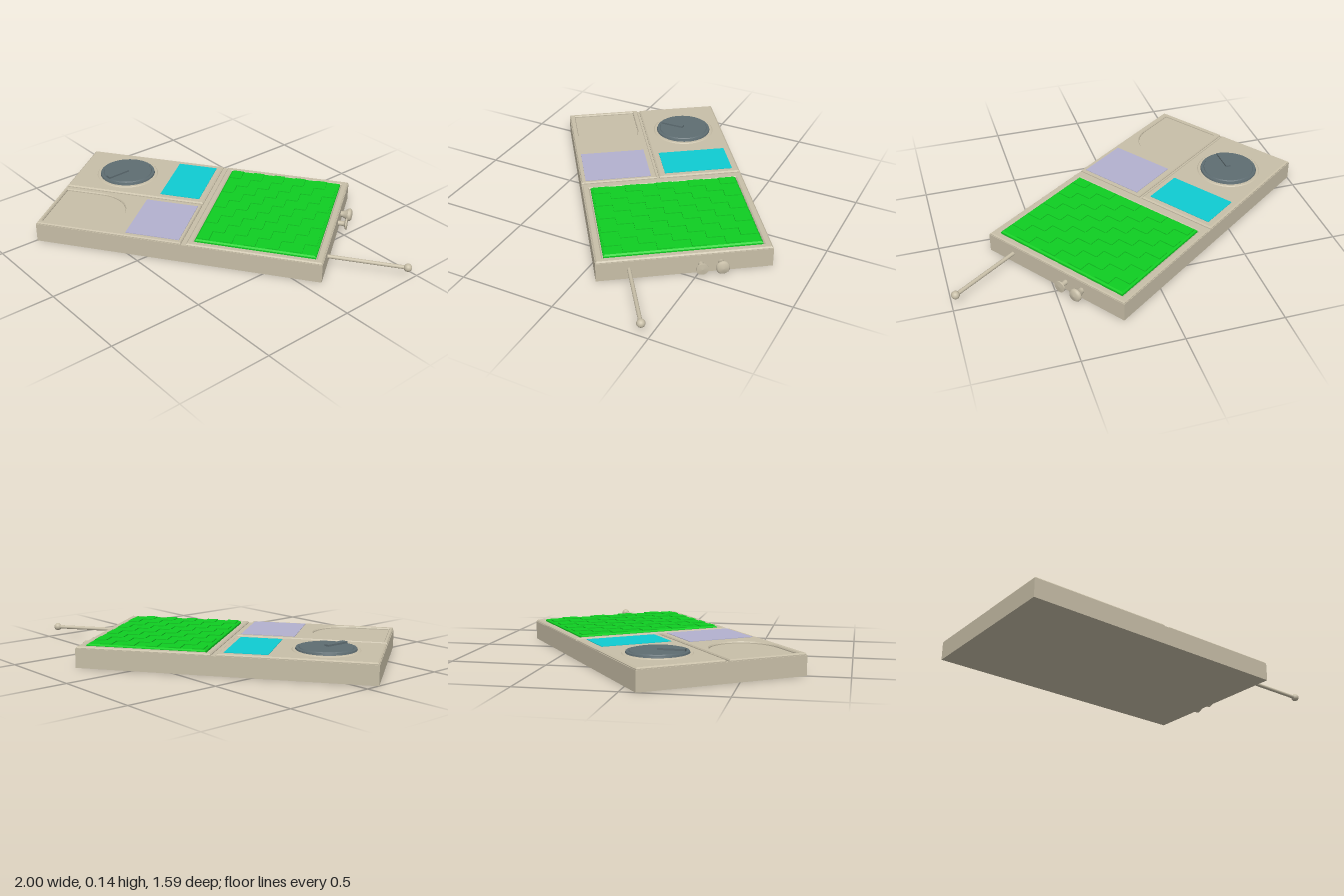
import * as THREE from 'three';
import { mergeGeometries } from 'three/addons/utils/BufferGeometryUtils.js';

const paint = (name, color) => Object.assign(new THREE.MeshStandardMaterial({ color }), { name });

export function createModel() {
  const beige = paint('beige plastic', 0xc8bfa8);
  const green = paint('green keys', 0x0fce22);
  const cyan = paint('cyan screen', 0x0fccd2);
  const lavender = paint('lavender screen', 0xb3b1cf);
  const slate = paint('slate dial', 0x5e6d72);

  const model = new THREE.Group();
  model.name = 'handheldDevice';
  // The device lies flat, turned on the ground
  const device = new THREE.Group();
  device.name = 'device';
  device.position.set(-0.13, 0, -0.004);
  device.rotation.y = 0.617;
  model.add(device);

  const add = (name, geometry, material, x = 0, y = 0, z = 0) => {
    const mesh = new THREE.Mesh(geometry, material);
    mesh.name = name;
    mesh.position.set(x, y, z);
    device.add(mesh);
    return mesh;
  };
  const rect = (x0, x1, z0, z1) => new THREE.Shape([
    new THREE.Vector2(x0, -z1), new THREE.Vector2(x1, -z1),
    new THREE.Vector2(x1, -z0), new THREE.Vector2(x0, -z0)]);
  // Bevelled slab lying flat between y0 and y1
  const slab = (name, shape, y0, y1, bevel, material) => {
    const g = new THREE.ExtrudeGeometry(shape, {
      depth: y1 - y0 - 0.012, bevelThickness: 0.006, bevelSize: bevel,
      bevelOffset: -bevel, bevelSegments: 1, curveSegments: 24 });
    g.rotateX(-Math.PI / 2);
    return add(name, g, material, 0, y0 + 0.006, 0);
  };
  const plate = (name, x0, x1, z0, z1, y, material) => add(name,
    new THREE.BoxGeometry(x1 - x0, 0.005, z1 - z0), material, (x0 + x1) / 2, y, (z0 + z1) / 2);

  // Casing
  add('casing', new THREE.BoxGeometry(1.52, 0.1, 0.874), beige, 0, 0.05, 0);

  // Raised top panels, with grooves between them
  slab('dialPanel', rect(-0.757, 0.032, -0.434, 0.012), 0.085, 0.111, 0.008, beige);
  const thumbPanel = rect(-0.757, 0.032, 0.026, 0.434);
  const recess = new THREE.Path();
  recess.moveTo(-0.738, -0.055);
  recess.lineTo(-0.738, -0.405);
  recess.lineTo(-0.53, -0.405);
  recess.absellipse(-0.53, -0.23, 0.185, 0.175, -Math.PI / 2, Math.PI / 2, false, 0);
  recess.lineTo(-0.738, -0.055);
  thumbPanel.holes.push(recess);
  slab('thumbPanel', thumbPanel, 0.085, 0.111, 0.004, beige);
  const frame = rect(0.058, 0.757, -0.434, 0.434);
  frame.holes.push(rect(0.09, 0.722, -0.398, 0.398));
  slab('keyboardFrame', frame, 0.085, 0.11, 0.006, beige);

  // Screens
  plate('cyanScreen', -0.222, 0, -0.397, -0.024, 0.111, cyan);
  plate('lavenderScreen', -0.272, 0.016, 0.056, 0.412, 0.111, lavender);

  // Keyboard: a pad with keys raised in a checkerboard
  slab('keyPad', rect(0.094, 0.718, -0.393, 0.393), 0.085, 0.117, 0.008, green);
  const cols = 10, rows = 9, keys = [];
  const kw = 0.6 / cols, kd = 0.764 / rows;
  for (let i = 0; i < cols; i++) {
    for (let j = 0; j < rows; j++) {
      if ((i + j) % 2) continue;
      const key = new THREE.BoxGeometry(kw, 0.008, kd);
      key.translate(0.106 + (i + 0.5) * kw, 0.118, -0.382 + (j + 0.5) * kd);
      keys.push(key);
    }
  }
  add('keys', mergeGeometries(keys), green);

  // Dial with a stepped rim and a pointer
  const lathe = (points, segments) => new THREE.LatheGeometry(
    points.map(([r, y]) => new THREE.Vector2(r, y)), segments);
  add('dialCollar', new THREE.CylinderGeometry(0.168, 0.175, 0.006, 48), beige, -0.477, 0.112, -0.21);
  const dial = mergeGeometries([
    new THREE.CylinderGeometry(0.152, 0.157, 0.017, 48),
    new THREE.CylinderGeometry(0.134, 0.138, 0.005, 48).translate(0, 0.0105, 0)]);
  add('dial', dial, slate, -0.477, 0.1145, -0.21);
  const pointerShape = new THREE.Shape([
    new THREE.Vector2(-0.018, -0.135), new THREE.Vector2(0.018, -0.135),
    new THREE.Vector2(0.013, 0), new THREE.Vector2(-0.013, 0)]);
  const pointer = add('dialPointer', new THREE.ExtrudeGeometry(pointerShape,
    { depth: 0.012, bevelEnabled: false }).rotateX(-Math.PI / 2), slate, -0.477, 0.125, -0.21);
  pointer.rotation.y = -0.617;

  // Antenna
  const rod = new THREE.CylinderGeometry(0.01, 0.01, 0.41, 16).rotateZ(-Math.PI / 2);
  add('antennaRod', rod, beige, 0.957, 0.055, 0.275);
  add('antennaTip', new THREE.SphereGeometry(0.021, 20, 14), beige, 1.162, 0.055, 0.275);

  // Side knobs, turned on the short edge
  const knob = (name, points, z) => add(name,
    lathe(points, 24).rotateZ(-Math.PI / 2), beige, 0.755, 0.05, z);
  knob('flaredKnob', [[0.016, 0], [0.016, 0.014], [0.022, 0.028], [0.034, 0.045],
    [0.034, 0.045], [0.034, 0.056], [0.026, 0.064], [0, 0.067]], -0.175);
  knob('buttonKnob', [[0.013, 0], [0.013, 0.035], [0.02, 0.042], [0.031, 0.046],
    [0.031, 0.046], [0.031, 0.053], [0.031, 0.053], [0, 0.056]], -0.075);

  return model;
}
